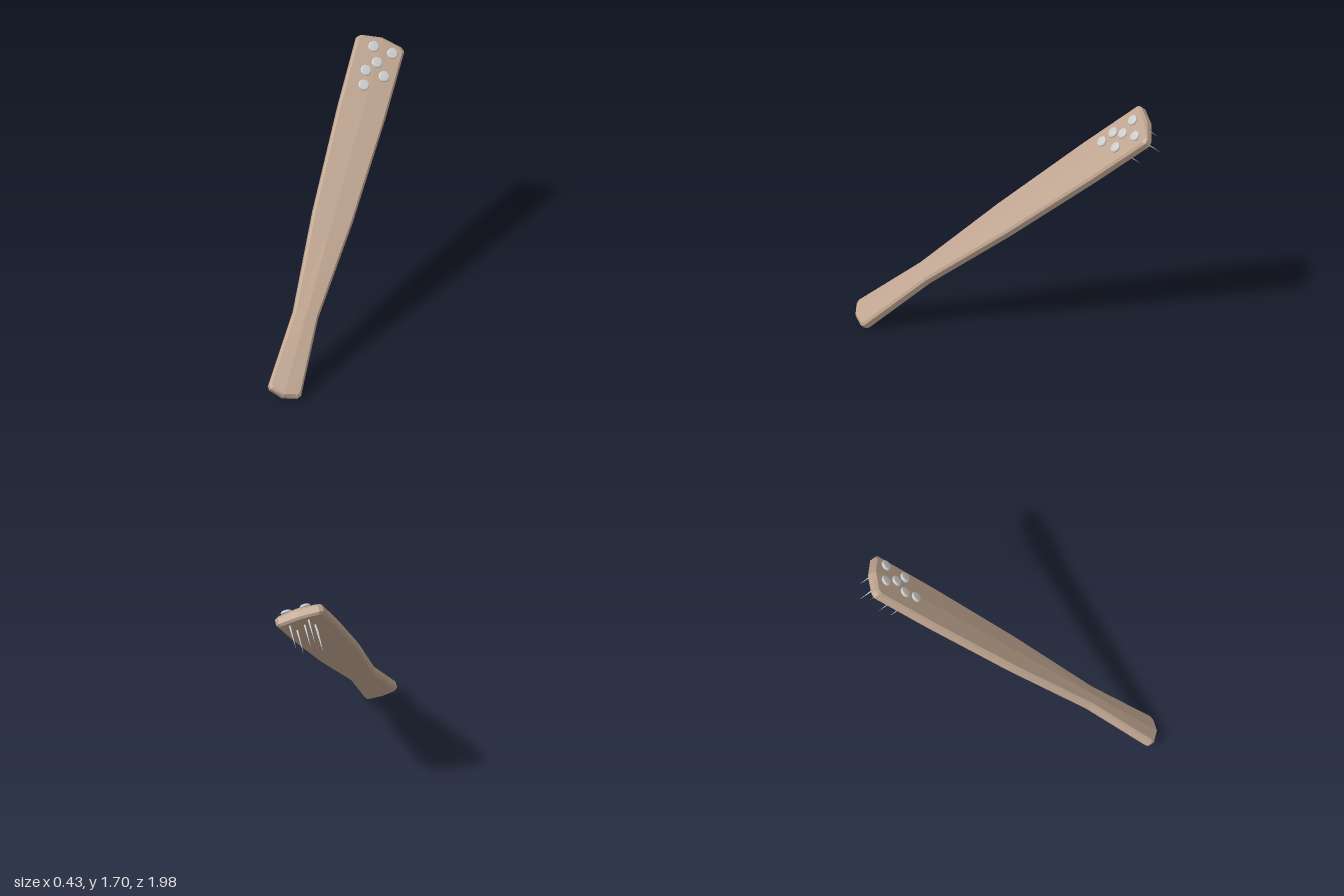
import * as THREE from 'three';

// Flat-shaded copy of a geometry
function faceted(geometry) {
  const flat = geometry.toNonIndexed();
  flat.computeVertexNormals();
  return flat;
}

// Plank: a segmented box reshaped row by row, with chamfered rims and a faint crown
function plankGeometry() {
  const rows = [[-1.23, 0.11], [-0.68, 0.083], [0, 0.134], [0.725, 0.159], [1.22, 0.162]];
  const columns = [-1, -0.85, 0, 0.85, 1];
  const endBulge = [-0.022, 0, 0.025, 0, -0.022];
  const layers = [-0.036, -0.02, 0.02, 0.034];
  const bevel = 0.014;
  const geometry = new THREE.BoxGeometry(4, 4, 3, 4, 4, 3);
  const pos = geometry.attributes.position;
  for (let i = 0; i < pos.count; i++) {
    const col = Math.round(pos.getX(i) + 2);
    const row = Math.round(pos.getY(i) + 2);
    const layer = Math.round(pos.getZ(i) + 1.5);
    const [along, half] = rows[row];
    const rim = layer === 0 || layer === 3 ? bevel : 0;
    const end = row === 0 ? -1 : row === 4 ? 1 : 0;
    const crown = layer === 3 ? 0.006 * (1 - Math.abs(columns[col])) : 0;
    pos.setXYZ(i,
      columns[col] * (half - rim),
      along + end * (endBulge[col] - rim),
      layers[layer] + crown);
  }
  return faceted(geometry);
}

// Nail: tapered shank and flat round head turned about its own axis
function nailGeometry() {
  const profile = [[0, -0.2], [0.007, -0.03], [0.009, 0.047], [0.034, 0.05],
    [0.037, 0.055], [0.036, 0.062], [0.029, 0.067], [0, 0.068]];
  const lathe = new THREE.LatheGeometry(profile.map(([r, y]) => new THREE.Vector2(r, y)), 14);
  return faceted(lathe.rotateX(Math.PI / 2));
}

export function createModel() {
  const model = new THREE.Group();
  model.name = 'nailedClub';

  const wood = new THREE.MeshStandardMaterial({ color: 0xbfa590, flatShading: true });
  const metal = new THREE.MeshStandardMaterial({ color: 0xcccccc, flatShading: true });

  // Leaning frame: x across the plank, y along it, z out of its upper face
  const club = new THREE.Group();
  club.name = 'club';
  const along = new THREE.Vector3(0.067, 0.65, -0.756).normalize();
  const across = new THREE.Vector3(0.921, -0.317, -0.222);
  across.addScaledVector(along, -across.dot(along)).normalize();
  const out = new THREE.Vector3().crossVectors(across, along);
  club.quaternion.setFromRotationMatrix(new THREE.Matrix4().makeBasis(across, along, out));
  club.position.set(-0.02, 0.85, 0.03);
  model.add(club);

  const plank = new THREE.Mesh(plankGeometry(), wood);
  plank.name = 'plank';
  club.add(plank);

  // Six nails driven through the wide end
  const nail = nailGeometry();
  const spots = [[-0.045, 1.159], [0.085, 1.153], [0.004, 1.064],
    [-0.052, 0.992], [0.072, 0.989], [-0.04, 0.894]];
  spots.forEach(([x, y], i) => {
    const mesh = new THREE.Mesh(nail, metal);
    mesh.name = `nail${i + 1}`;
    mesh.position.set(x, y, 0);
    club.add(mesh);
  });

  return model;
}
